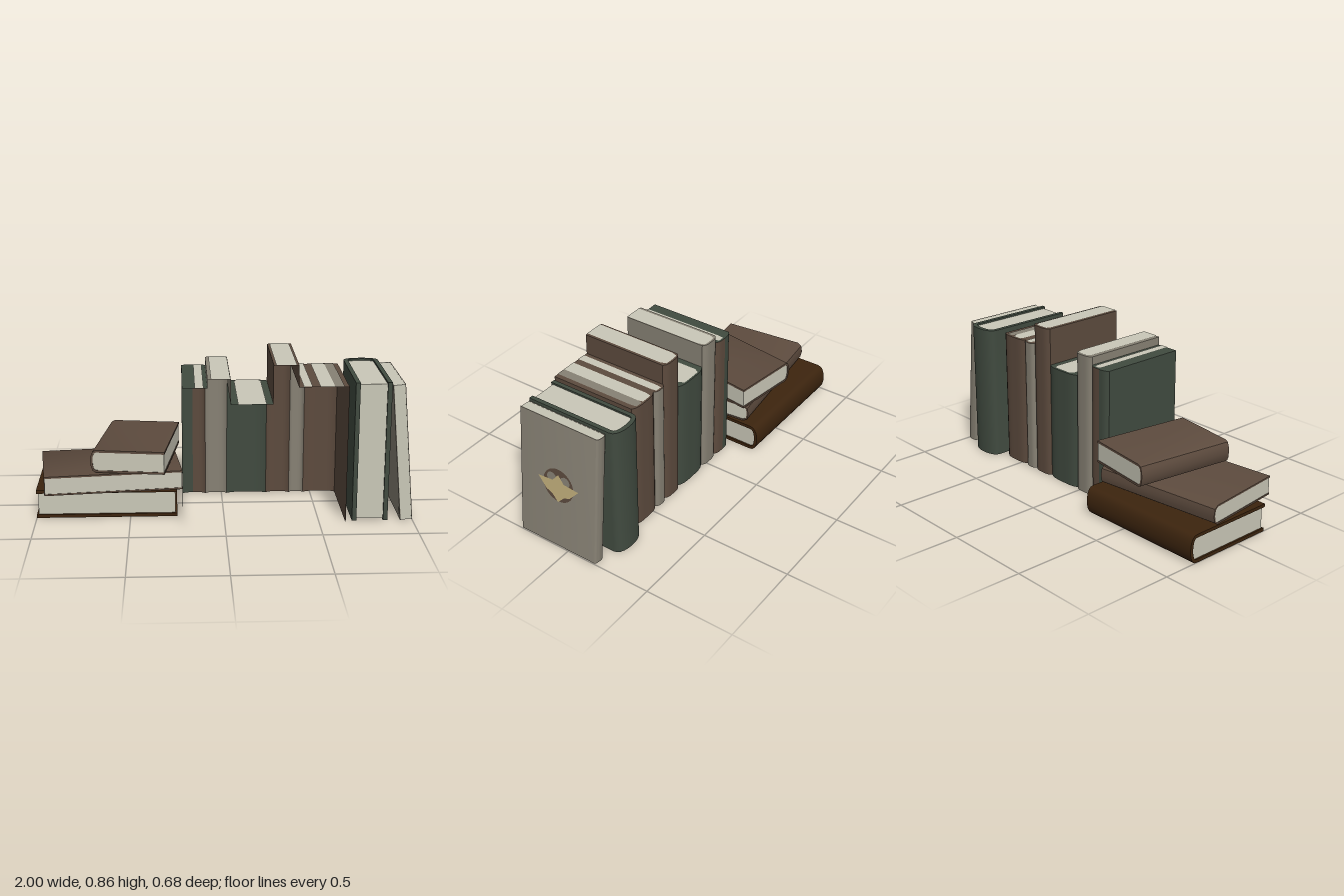
import * as THREE from 'three';
import { toCreasedNormals } from 'three/addons/utils/BufferGeometryUtils.js';

const material = (name, color, side = THREE.FrontSide) => {
  const m = new THREE.MeshStandardMaterial({ color, side });
  m.name = name;
  return m;
};
const D = THREE.DoubleSide;
const pages = material('pages', 0xcac8b8, D);
const grey = material('grey cloth', 0x878174, D);
const green = material('green cloth', 0x414b40, D);
const brown = material('brown leather', 0x5d4b3e, D);
const darkBrown = material('dark brown leather', 0x3c240e, D);
const gold = material('gold', 0xc2b07c, D);

function addMesh(parent, name, geometry, mat) {
  const mesh = new THREE.Mesh(geometry, mat);
  mesh.name = name;
  parent.add(mesh);
  return mesh;
}

// Curved or chamfered back of a book, from the top edge round to the bottom edge
function spineCurve(inset, thick, bulge, steps) {
  const points = [];
  const half = thick / 2;
  for (let i = 0; i <= steps; i++) {
    const a = Math.PI / 2 - (Math.PI * i) / steps;
    points.push(new THREE.Vector2(
      bulge - (bulge - inset) * Math.pow(Math.abs(Math.cos(a)), 0.8),
      half + (half - inset) * Math.sin(a)));
  }
  return points;
}

function extrude(points, length, depth, thick) {
  const geo = new THREE.ExtrudeGeometry(new THREE.Shape(points), { depth: length, bevelEnabled: false });
  geo.translate(-depth / 2, -thick / 2, -length / 2);
  return toCreasedNormals(geo, 0.7);
}

// Book: x runs from spine to fore-edge, y is thickness, z runs along the spine
function book(name, { length, depth, thick, board, bulge, inset, cover, steps = 10 }) {
  const group = new THREE.Group();
  group.name = name;
  const outer = spineCurve(0, thick, bulge, steps);
  const inner = spineCurve(board, thick, bulge, steps);
  const p = (x, y) => new THREE.Vector2(x, y);
  const coverShape = [p(depth, thick), ...outer, p(depth, 0), p(depth, board),
    ...inner.slice().reverse(), p(depth, thick - board)];
  const edge = depth - inset;
  const pageShape = [p(edge, thick - board), ...inner, p(edge, board)];
  addMesh(group, 'cover', extrude(coverShape, length, depth, thick), cover);
  addMesh(group, 'pageBlock', extrude(pageShape, length - 2 * inset, depth, thick), pages);
  return group;
}

// Open strip through [x, z] points between two heights
function strip(points, y0, y1) {
  const pos = [], index = [];
  points.forEach(([x, z], i) => {
    pos.push(x, y0, z, x, y1, z);
    if (i) index.push(2 * i - 2, 2 * i - 1, 2 * i, 2 * i, 2 * i - 1, 2 * i + 1);
  });
  const geo = new THREE.BufferGeometry();
  geo.setAttribute('position', new THREE.Float32BufferAttribute(pos, 3));
  geo.setIndex(index);
  geo.computeVertexNormals();
  return geo;
}

// Hollow row of upright books, open at the front and below
function bookRow() {
  const row = new THREE.Group();
  row.name = 'bookRow';
  const front = 0.335;
  const books = [
    { x0: -0.22, x1: -0.09, h: 0.745, spine: [[-0.16, green], [-0.09, brown]], top: [[-0.155, -0.11, pages]] },
    { x0: -0.09, x1: 0.03, h: 0.79, spine: [[0.03, grey]], top: [[-0.072, 0.028, pages]] },
    { x0: 0.03, x1: 0.25, h: 0.655, spine: [[0.25, green]], top: [[0.068, 0.215, pages]] },
    { x0: 0.25, x1: 0.38, h: 0.86, spine: [[0.38, brown]], top: [[0.262, 0.368, pages]] },
    { x0: 0.38, x1: 0.46, h: 0.745, spine: [[0.46, grey]], lid: brown, top: [[0.405, 0.45, pages]] },
    { x0: 0.46, x1: 0.64, h: 0.745, spine: [[0.64, brown]], top: [[0.49, 0.565, pages], [0.565, 0.615, grey]] },
  ];
  const backZ = (b, x) => {
    const u = (2 * x - b.x0 - b.x1) / (b.x1 - b.x0);
    return -0.172 + 0.018 * u ** 4;
  };
  const line = (b, x0, x1, shift = 0) => Array.from({ length: 11 }, (_, i) => {
    const x = x0 + ((x1 - x0) * i) / 10;
    return [x, backZ(b, x) + shift];
  });
  const lid = (b, x0, x1, y, shift) => {
    const pts = line(b, x0, x1, shift).map(([x, z]) => new THREE.Vector2(x, -z));
    if (shift) { pts[0].y -= 0.025; pts[10].y -= 0.025; }
    pts.push(new THREE.Vector2(x1, -front), new THREE.Vector2(x0, -front));
    return new THREE.ShapeGeometry(new THREE.Shape(pts)).rotateX(-Math.PI / 2).translate(0, y, 0);
  };
  for (const b of books) {
    let x = b.x0;
    for (const [end, mat] of b.spine) {
      addMesh(row, 'spine', strip(line(b, x, end), 0, b.h), mat);
      x = end;
    }
    addMesh(row, 'topEdge', lid(b, b.x0, b.x1, b.h, 0), b.lid || b.spine[0][1]);
    for (const [a, c, mat] of b.top) addMesh(row, 'pageTop', lid(b, a, c, b.h + 0.003, 0.008), mat);
  }
  // End covers and the steps between books of different height
  const walls = [[-0.22, 0, 0.745, green], [-0.09, 0.745, 0.79, grey], [0.03, 0.655, 0.79, grey],
    [0.25, 0.655, 0.86, brown], [0.38, 0.745, 0.86, brown], [0.64, 0, 0.745, brown]];
  for (const [x, y0, y1, mat] of walls)
    addMesh(row, 'sideCover', strip([[x, -0.154], [x, front]], y0, y1), mat);
  return row;
}

// Flat ornament facing the book's outer cover
function ornament() {
  const group = new THREE.Group();
  group.name = 'coverOrnament';
  addMesh(group, 'disc', new THREE.CircleGeometry(0.096, 32), brown);
  for (const s of [-1, 1])
    addMesh(group, 'roundInset', new THREE.CircleGeometry(0.03, 20), grey).position.set(s * 0.042, 0.035, 0.001);
  const star = new THREE.Shape();
  star.moveTo(0, 0.065);
  for (const [x, y] of [[0.035, 0.022], [0.128, 0.014], [0.075, -0.045], [0.035, -0.062], [0, -0.1],
    [-0.035, -0.062], [-0.075, -0.045], [-0.128, 0.014], [-0.035, 0.022]]) star.lineTo(x, y);
  addMesh(group, 'star', new THREE.ShapeGeometry(star), gold).position.z = 0.002;
  return group;
}

export function createModel() {
  const model = new THREE.Group();
  model.name = 'books';

  // Stack of lying books
  const bottom = book('bottomBook', { length: 0.75, depth: 0.54, thick: 0.155, board: 0.018, bulge: 0.045, inset: 0.01, cover: darkBrown });
  bottom.position.set(-0.625, 0.0775, -0.07);
  bottom.rotation.y = -Math.PI / 2;

  const middle = book('middleBook', { length: 0.73, depth: 0.48, thick: 0.104, board: 0.009, bulge: 0.03, inset: 0.003, cover: brown, steps: 4 });
  middle.position.set(-0.61, 0.21, 0.017);
  middle.rotation.y = -Math.PI / 2 + 0.113;

  const upper = book('upperBook', { length: 0.56, depth: 0.394, thick: 0.122, board: 0.012, bulge: 0.03, inset: 0.003, cover: brown, steps: 6 });
  upper.position.set(-0.47, 0.331, -0.003);
  upper.rotation.y = -0.14;

  // Upright books at the other end: spine to the back, spine length upward
  const upright = new THREE.Matrix4().makeBasis(
    new THREE.Vector3(0, 0, 1), new THREE.Vector3(1, 0, 0), new THREE.Vector3(0, 1, 0));
  const standing = book('standingBook', { length: 0.757, depth: 0.545, thick: 0.19, board: 0.024, bulge: 0.05, inset: 0.01, cover: green });
  standing.quaternion.setFromRotationMatrix(upright);
  standing.position.set(0.772, 0.3785, 0.0325);

  const leaning = new THREE.Group();
  leaning.name = 'leaningBook';
  const thin = book('thinBook', { length: 0.745, depth: 0.485, thick: 0.065, board: 0.004, bulge: 0.012, inset: 0.001, cover: grey });
  thin.quaternion.setFromRotationMatrix(upright);
  const badge = ornament();
  badge.rotation.y = Math.PI / 2;
  badge.position.set(0.0345, 0.004, 0);
  leaning.add(thin, badge);
  leaning.rotation.z = 0.087;
  leaning.position.set(0.935, 0.374, 0.0625);

  model.add(bottom, middle, upper, bookRow(), standing, leaning);
  return model;
}
